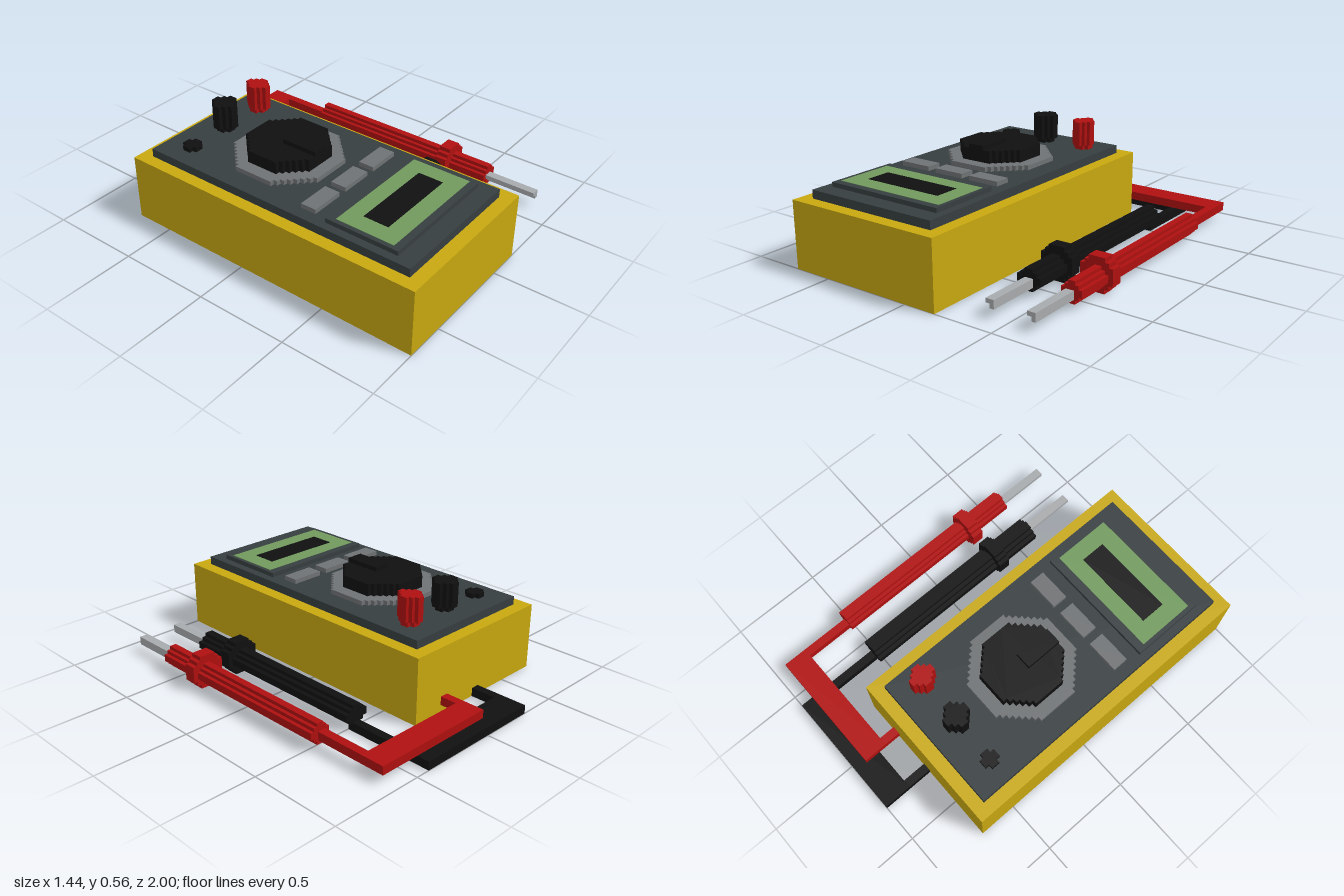
import * as THREE from 'three';

const V = 0.0225; // grid step of the stepped outlines

const mat = (name, color) => {
  const m = new THREE.MeshStandardMaterial({ color });
  m.name = name;
  return m;
};

// Round outline drawn in steps; halves[i] is the half width of row i from the centre
function steppedShape(halves, sx = 1, sy = 1) {
  const quarter = [];
  halves.forEach((h, i) => quarter.push([h, i], [h, i + 1]));
  const pts = quarter.slice(1);
  const back = [...pts].reverse();
  const all = [
    ...pts,
    ...back.map(([x, y]) => [-x, y]),
    ...pts.map(([x, y]) => [-x, -y]),
    ...back.map(([x, y]) => [x, -y]),
  ];
  return new THREE.Shape(all.map(([x, y]) => new THREE.Vector2(x * V * sx, y * V * sy)));
}

// Octagon with one-step diagonals
const octagon = (r, flat) => Array.from({ length: r }, (_, i) => (i < flat ? r : r - 1 - (i - flat)));

export function createModel() {
  const group = new THREE.Group();
  group.name = 'multimeter';
  const yellow = mat('yellow case', 0xc8a810);
  const slate = mat('slate panel', 0x373e40);
  const grey = mat('grey plastic', 0x6f7274);
  const black = mat('black plastic', 0x101010);
  const red = mat('red plastic', 0xb01010);
  const green = mat('green screen', 0x719a5e);
  const silver = mat('silver metal', 0xa8abad);

  const add = (name, geometry, material) => {
    const mesh = new THREE.Mesh(geometry, material);
    mesh.name = name;
    group.add(mesh);
    return mesh;
  };

  // Box given by its limits
  const box = (name, material, x0, x1, y0, y1, z0, z1) => {
    const m = add(name, new THREE.BoxGeometry(x1 - x0, y1 - y0, z1 - z0), material);
    m.position.set((x0 + x1) / 2, (y0 + y1) / 2, (z0 + z1) / 2);
  };

  // Upright prism
  const upright = (name, material, shape, x, z, y0, y1) => {
    const g = new THREE.ExtrudeGeometry(shape, { depth: y1 - y0, bevelEnabled: false });
    g.rotateX(-Math.PI / 2);
    add(name, g, material).position.set(x, y0, z);
  };

  // Prism lying along z
  const lying = (name, material, shape, x, y, z0, z1) => {
    const g = new THREE.ExtrudeGeometry(shape, { depth: z1 - z0, bevelEnabled: false });
    add(name, g, material).position.set(x, y, z0);
  };

  // Case, panel and display
  box('case', yellow, -0.718, 0.178, 0, 0.36, -0.709, 1);
  box('panel', slate, -0.652, 0.109, 0.36, 0.405, -0.64, 0.93);
  box('displayFrame', slate, -0.61, 0.065, 0.405, 0.429, 0.438, 0.838);
  box('screen', green, -0.587, 0.045, 0.429, 0.431, 0.483, 0.8);
  box('digits', black, -0.495, -0.045, 0.431, 0.433, 0.57, 0.706);

  // Buttons
  [[-0.587, -0.407], [-0.36, -0.185], [-0.137, 0.041]].forEach(([a, b]) =>
    box('button', grey, a, b, 0.405, 0.429, 0.28, 0.365));

  // Selector dial
  upright('dialRing', grey, steppedShape(octagon(12, 5)), -0.271, -0.058, 0.405, 0.43);
  upright('dial', black, steppedShape(octagon(9, 4)), -0.271, -0.058, 0.43, 0.496);
  box('dialPointer', black, -0.316, -0.226, 0.496, 0.52, -0.055, 0.147);

  // Sockets and plugs
  const socket = steppedShape([2, 1]);
  [[-0.518, black], [-0.272, black], [-0.014, red]].forEach(([x, m]) =>
    upright('socket', m, socket, x, -0.486, 0.405, 0.43));
  upright('blackPlug', black, steppedShape([3, 2, 1]), -0.272, -0.486, 0.43, 0.563);
  upright('redPlug', red, steppedShape([3, 2, 1], 5 / 6), -0.014, -0.484, 0.43, 0.563);

  // Test leads: stub, wide cross run and long run to the probe
  const lead = (name, m, y, xIn, xOut, zBack, zFront) => {
    box(name + 'Stub', m, xIn, xIn + 0.045, y, y + 0.046, zFront, -0.709);
    box(name + 'Cross', m, xIn, xOut, y, y + 0.046, zBack, zFront);
    box(name + 'Run', m, xOut - 0.045, xOut, y, y + 0.046, zFront, -0.5);
  };
  lead('blackLead', black, 0, -0.293, 0.424, -1, -0.845);
  lead('redLead', red, 0.046, -0.047, 0.648, -0.932, -0.8);

  // Probes: ribbed handle, collar and notched metal tip
  const tip = new THREE.Shape([[0, V], [V, V], [V, -V], [0, -V], [0, 0], [-V, 0], [-V, V]]
    .slice(1).reverse().map(([x, y]) => new THREE.Vector2(x, y)));
  const probe = (name, m, x, sx, handleX) => {
    lying(name + 'Handle', m, steppedShape([3, 2, 1], sx, 5 / 6), handleX, 0.081, -0.53, 0.595);
    lying(name + 'Collar', m, steppedShape([4, 4, 3, 2]), x, 0.09, 0.308, 0.375);
    lying(name + 'Tip', silver, tip, x, 0.069, 0.595, 0.885);
  };
  probe('blackProbe', black, 0.402, 1, 0.4);
  probe('redProbe', red, 0.628, 5 / 6, 0.637);

  return group;
}
